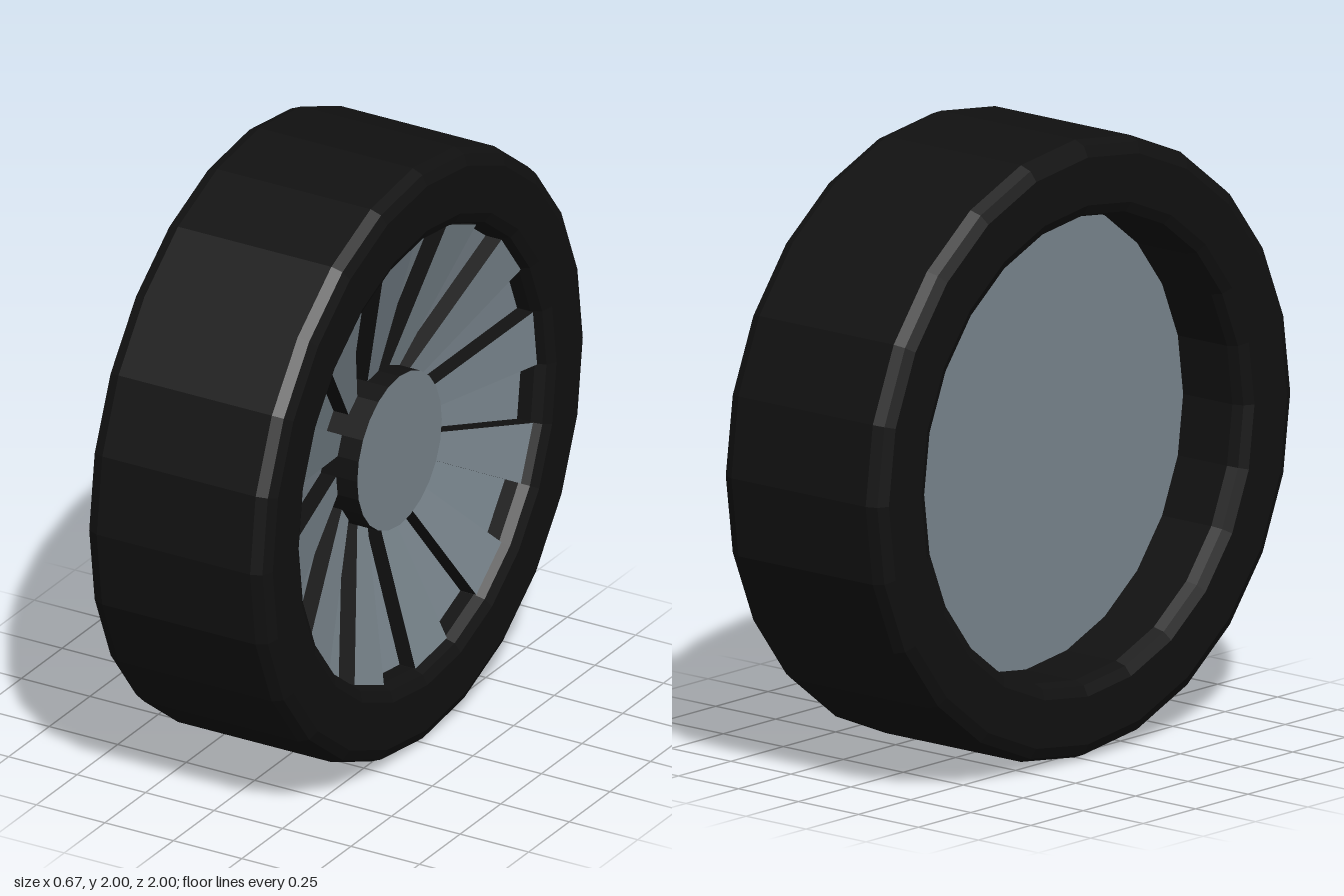
import * as THREE from 'three';

const SIDES = 24;
const STEP = (Math.PI * 2) / SIDES;
const HUB_R = 0.26, RIM_R = 0.748;

// Point on the wheel: x along the axle, radius r, angle t
const at = (x, r, t) => [x, r * Math.sin(t), -r * Math.cos(t)];

function quads(list) {
  const pos = [];
  for (const [a, b, c, d] of list) pos.push(...a, ...b, ...c, ...a, ...c, ...d);
  const g = new THREE.BufferGeometry();
  g.setAttribute('position', new THREE.Float32BufferAttribute(pos, 3));
  g.computeVertexNormals();
  return g;
}

export function createModel() {
  const rubber = new THREE.MeshStandardMaterial({ color: 0x111111, flatShading: true });
  rubber.name = 'black rubber';
  const metal = new THREE.MeshStandardMaterial({ color: 0x7a868e, flatShading: true });
  metal.name = 'grey metal';

  const wheel = new THREE.Group();
  wheel.name = 'wheel';
  const add = (name, geometry, material) => {
    const mesh = new THREE.Mesh(geometry, material);
    mesh.name = name;
    wheel.add(mesh);
  };

  // Tyre: closed profile (radius, axle position) with chamfered corners
  const half = [[1, 0.28], [0.985, 0.316], [0.95, 0.333], [0.795, 0.333], [0.762, 0.316], [0.75, 0.28]];
  const mirrored = half.map(([r, x]) => [r, -x]).reverse();
  const profile = [...half, ...mirrored, half[0]].map(([r, x]) => new THREE.Vector2(r, x));
  add('tyre', new THREE.LatheGeometry(profile, SIDES).rotateZ(-Math.PI / 2), rubber);

  // Dished spokes: alternating raised and recessed wedges, with dark step walls
  const raised = [0.155, 0.29], recessed = [0.1, 0.232];
  const faces = [], walls = [];
  for (let i = 0; i < SIDES; i++) {
    const t0 = i * STEP, t1 = t0 + STEP;
    const corners = ([xi, xo]) => [at(xi, HUB_R, t0), at(xo, RIM_R, t0), at(xo, RIM_R, t1), at(xi, HUB_R, t1)];
    if (i % 2) {
      faces.push(corners(recessed));
      continue;
    }
    const top = corners(raised), low = corners(recessed);
    faces.push(top);
    walls.push(
      [top[0], low[0], low[1], top[1]],
      [top[2], low[2], low[3], top[3]],
      [low[1], low[2], top[2], top[1]],
    );
  }
  add('spokes', quads(faces), metal);
  add('spokeSides', quads(walls), rubber);

  // Hub: dark side wall with a metal cap
  const hubTop = 0.232, hubBase = 0.06;
  const hub = new THREE.CylinderGeometry(HUB_R, HUB_R, hubTop - hubBase, SIDES, 1, true);
  add('hubSide', hub.rotateZ(-Math.PI / 2).translate((hubTop + hubBase) / 2, 0, 0), rubber);
  add('hubCap', new THREE.CircleGeometry(HUB_R, SIDES).rotateY(Math.PI / 2).translate(hubTop, 0, 0), metal);

  // Flat plate closing the inner side of the wheel
  add('backPlate', new THREE.CircleGeometry(0.75, SIDES).rotateY(-Math.PI / 2).translate(-0.075, 0, 0), metal);

  wheel.position.y = 1;
  const model = new THREE.Group();
  model.name = 'model';
  model.add(wheel);
  return model;
}
